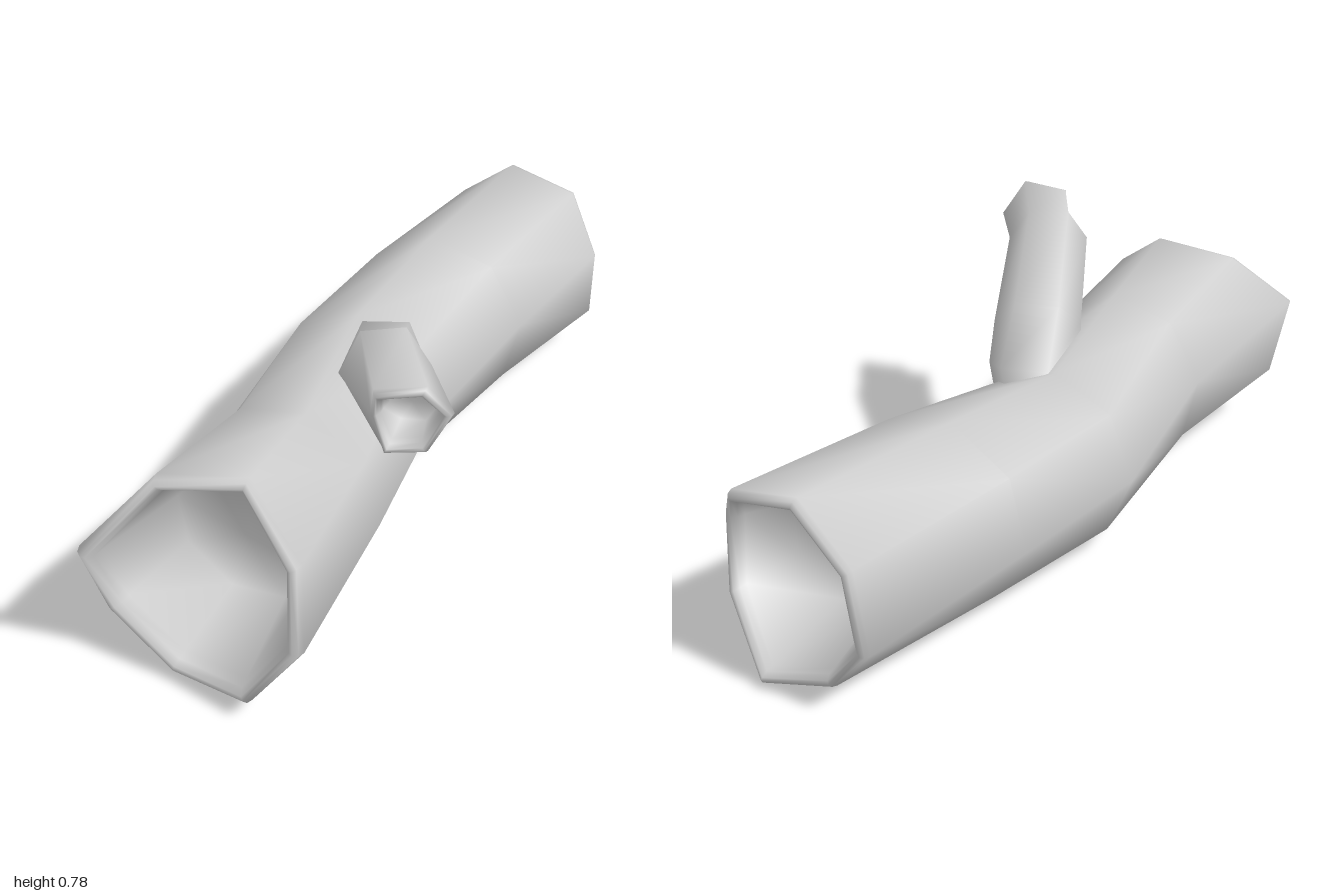
import * as THREE from 'three';

const V = (x, y, z) => new THREE.Vector3(x, y, z);

// Skin a list of equal-sized rings; side faces point outward, closed around each ring
function loft(rings) {
  const n = rings[0].length, pos = [], idx = [];
  rings.forEach(r => r.forEach(p => pos.push(p.x, p.y, p.z)));
  for (let i = 0; i < rings.length - 1; i++) {
    for (let j = 0; j < n; j++) {
      const k = (j + 1) % n, a = i * n + j, b = i * n + k, c = a + n, d = b + n;
      idx.push(a, c, b, b, c, d);
    }
  }
  const g = new THREE.BufferGeometry();
  g.setAttribute('position', new THREE.Float32BufferAttribute(pos, 3));
  g.setIndex(idx);
  g.computeVertexNormals();
  return g;
}

// Ring around a centre, perpendicular to direction d; rv stretches it lengthwise
function ring(c, d, r, sides, phase = 0, rv = r) {
  d = d.clone().normalize();
  const u = V(0, 1, 0).cross(d).normalize(), v = d.clone().cross(u);
  return Array.from({ length: sides }, (_, i) => {
    const a = phase * Math.PI / 180 + i * 2 * Math.PI / sides;
    return c.clone().addScaledVector(u, r * Math.cos(a)).addScaledVector(v, rv * Math.sin(a));
  });
}

// Hollow broken end: from cavity floor, along the cavity wall, over the rounded rim
function brokenEnd(corners, out, wall, depth, floorScale) {
  const n = corners.length;
  const c = corners.reduce((s, p) => s.add(p), V(0, 0, 0)).divideScalar(n);
  const o = out.clone().normalize();
  const thick = wall * corners.reduce((s, p) => s + p.distanceTo(c), 0) / n;
  const scaled = (s, shift) => corners.map(p => {
    const off = p.clone().sub(c), along = off.dot(o);
    off.addScaledVector(o, -along).multiplyScalar(s);
    return c.clone().add(off).addScaledVector(o, along + shift * thick);
  });
  const centre = c.clone().addScaledVector(o, -depth);
  const floor = scaled(floorScale, 0).map(p =>
    p.addScaledVector(o, -depth - p.clone().sub(c).dot(o)));
  return [
    corners.map(() => centre.clone()), floor,
    scaled(1 - wall * 1.1, -1.1), scaled(1 - wall, -0.5),
    scaled(1 - wall * 0.7, -0.08), scaled(1 - wall * 0.45, 0),
    scaled(1 - wall * 0.15, -0.2), scaled(1, -0.6),
  ];
}

export function createModel() {
  const group = new THREE.Group();
  const bark = new THREE.MeshStandardMaterial({ color: 0xcccccc });
  bark.name = 'light grey bark';
  const add = (name, rings) => {
    const m = new THREE.Mesh(loft(rings), bark);
    m.name = name;
    group.add(m);
  };
  const Z = V(0, 0, 1);

  // Trunk: bent, slightly twisted eight-sided log with uneven hollow ends
  const front = [
    V(0.195, 0.225, 0.94), V(0.172, 0.45, 0.89), V(0, 0.585, 0.81), V(-0.225, 0.555, 0.86),
    V(-0.367, 0.39, 1.0), V(-0.34, 0.17, 0.95), V(-0.165, 0.02, 0.95), V(0.07, 0.05, 0.985),
  ];
  const back = [
    V(0.287, 0.355, -0.865), V(0.17, 0.50, -0.96), V(-0.04, 0.55, -0.965), V(-0.2, 0.42, -0.975),
    V(-0.235, 0.2, -0.975), V(-0.12, 0.06, -0.965), V(0.075, 0.01, -1.0), V(0.277, 0.135, -0.89),
  ];
  // The back end is built in the same turning order, so its ring list is reversed
  add('trunk', [
    ...brokenEnd(front, Z, 0.15, 0.23, 0.67),
    ring(V(-0.08, 0.28, 0.45), Z, 0.25, 8, -10),
    ring(V(-0.135, 0.25, -0.03), Z, 0.25, 8, 0),
    ring(V(-0.065, 0.272, -0.45), Z, 0.265, 8, 8),
    ...brokenEnd(back, Z.clone().negate(), 0.13, 0.24, 0.67).reverse(),
  ]);

  // Branch: six-sided stub with an elbow, flaring lengthwise into the trunk
  const tip = [
    V(0.38, 0.685, 0.50), V(0.333, 0.78, 0.55), V(0.215, 0.762, 0.59),
    V(0.187, 0.66, 0.55), V(0.24, 0.587, 0.585), V(0.337, 0.597, 0.55),
  ];
  add('branch', [
    ...brokenEnd(tip, V(0.2, 0, 1), 0.28, 0.08, 0.6),
    ring(V(0.155, 0.685, 0.39), V(0.5, 0.33, 0.75), 0.112, 6, 0),
    ring(V(0.06, 0.52, 0.19), V(0.35, 0.65, 0.6), 0.122, 6),
    ring(V(0.01, 0.43, 0.1), V(0.15, 0.95, 0.35), 0.13, 6, 0, 0.2),
    ring(V(-0.05, 0.33, 0.07), V(0.1, 1, 0.2), 0.14, 6, 0, 0.24),
  ]);

  return group;
}
